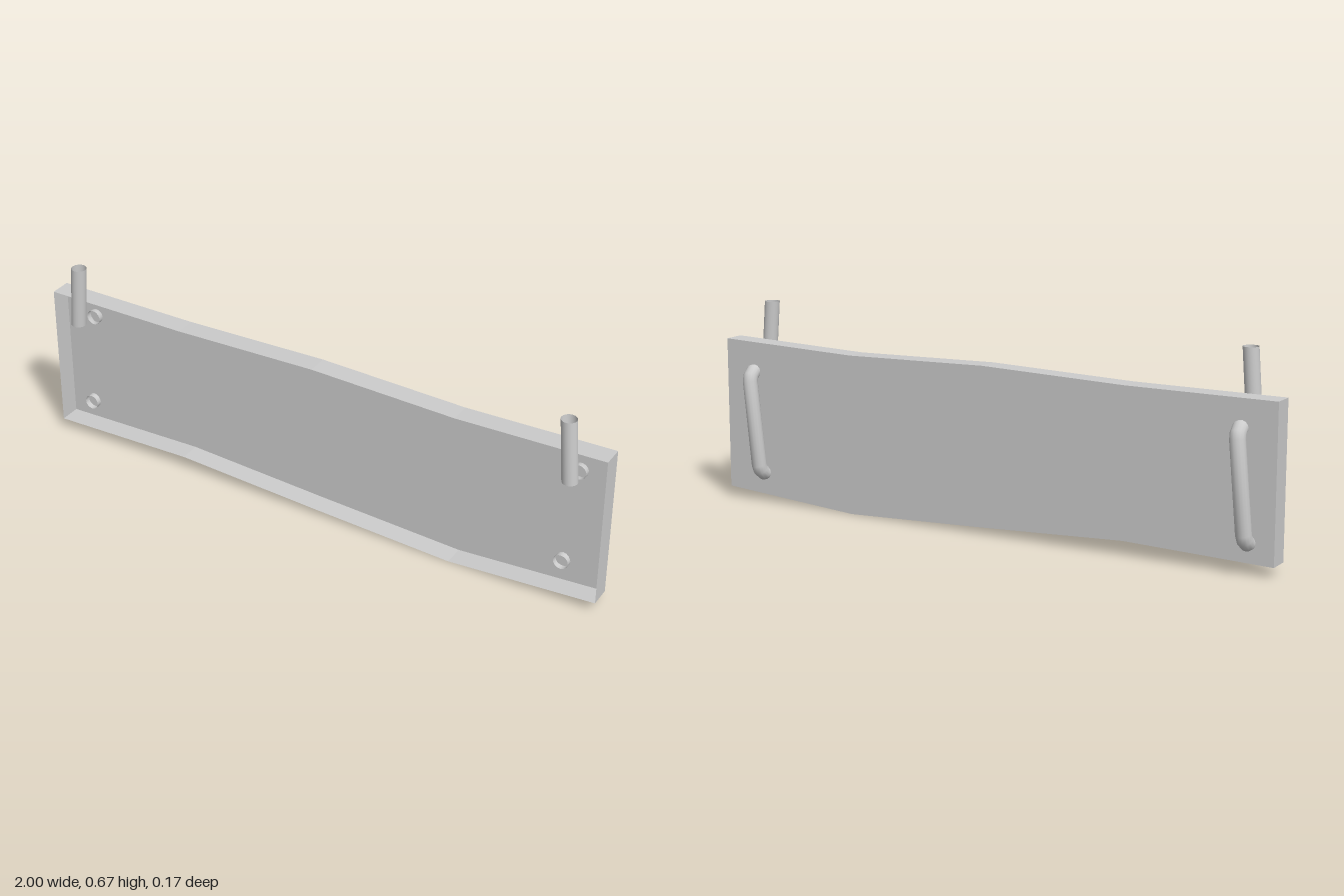
import * as THREE from 'three';

const BACK = -0.034, FRONT = 0.037, RADIUS = 0.025;

const material = new THREE.MeshStandardMaterial({ color: 0xcccccc, side: THREE.DoubleSide });

// Wavy outline of the board, counter-clockwise from the lower -x corner
const outline = [
  [-1, 0.035], [-0.5, 0.048], [0, 0.022], [0.5, 0], [1, 0.035],
  [1, 0.546], [0.5, 0.532], [0, 0.545], [-0.5, 0.532], [-1, 0.533],
].map(([x, y]) => new THREE.Vector2(x, y));

// Path whose samples fall exactly on the given points, so bends stay faceted
class PointPath extends THREE.Curve {
  constructor(points) {
    super();
    this.points = points;
  }
  getPointAt(u, target = new THREE.Vector3()) {
    return target.copy(this.points[Math.round(u * (this.points.length - 1))]);
  }
  getTangentAt(u, target = new THREE.Vector3()) {
    const last = this.points.length - 1;
    const i = Math.round(u * last);
    const dir = (a, b) => this.points[b].clone().sub(this.points[a]).normalize();
    target.set(0, 0, 0);
    if (i > 0) target.add(dir(i - 1, i));
    if (i < last) target.add(dir(i, i + 1));
    return target.normalize();
  }
}

function named(geometry, name) {
  const mesh = new THREE.Mesh(geometry, material);
  mesh.name = name;
  return mesh;
}

// Thin wall that follows the outline from the back panel to the open front
function rimGeometry() {
  const positions = [];
  outline.forEach((a, i) => {
    const b = outline[(i + 1) % outline.length];
    positions.push(
      a.x, a.y, BACK, b.x, b.y, BACK, b.x, b.y, FRONT,
      a.x, a.y, BACK, b.x, b.y, FRONT, a.x, a.y, FRONT);
  });
  const geometry = new THREE.BufferGeometry();
  geometry.setAttribute('position', new THREE.Float32BufferAttribute(positions, 3));
  geometry.computeVertexNormals();
  return geometry;
}

// Bent tube behind the board; both open ends pass through the panel
function handleGeometry(xLow, xHigh) {
  const low = 0.1, high = 0.443;
  const bend = [[0, -0.016], [0, -0.039], [0.013, -0.055], [0.03, -0.061]];
  const point = (y, z) =>
    new THREE.Vector3(THREE.MathUtils.mapLinear(y, low, high, xLow, xHigh), y, z);
  const points = [
    ...bend.map(([d, z]) => point(low + d, z)),
    ...bend.map(([d, z]) => point(high - d, z)).reverse(),
  ];
  return new THREE.TubeGeometry(new PointPath(points), points.length - 1, RADIUS, 16, false);
}

// Hollow upright, sheared sideways so its ends stay level
function postGeometry(xLow, xHigh) {
  const low = 0.458, high = 0.67, height = high - low;
  const geometry = new THREE.CylinderGeometry(RADIUS, RADIUS, height, 20, 1, true);
  geometry.applyMatrix4(new THREE.Matrix4().set(
    1, (xHigh - xLow) / height, 0, (xLow + xHigh) / 2,
    0, 1, 0, (low + high) / 2,
    0, 0, 1, 0.062,
    0, 0, 0, 1));
  return geometry;
}

export function createModel() {
  const model = new THREE.Group();
  model.name = 'board';

  // Open-fronted board
  const panel = named(new THREE.ShapeGeometry(new THREE.Shape(outline)), 'backPanel');
  panel.position.z = BACK;
  model.add(panel, named(rimGeometry(), 'rim'));

  // Handles behind, hollow posts in front
  model.add(
    named(handleGeometry(0.855, 0.89), 'leftHandle'),
    named(handleGeometry(-0.915, -0.883), 'rightHandle'),
    named(postGeometry(0.897, 0.88), 'leftPost'),
    named(postGeometry(-0.883, -0.867), 'rightPost'));
  return model;
}
